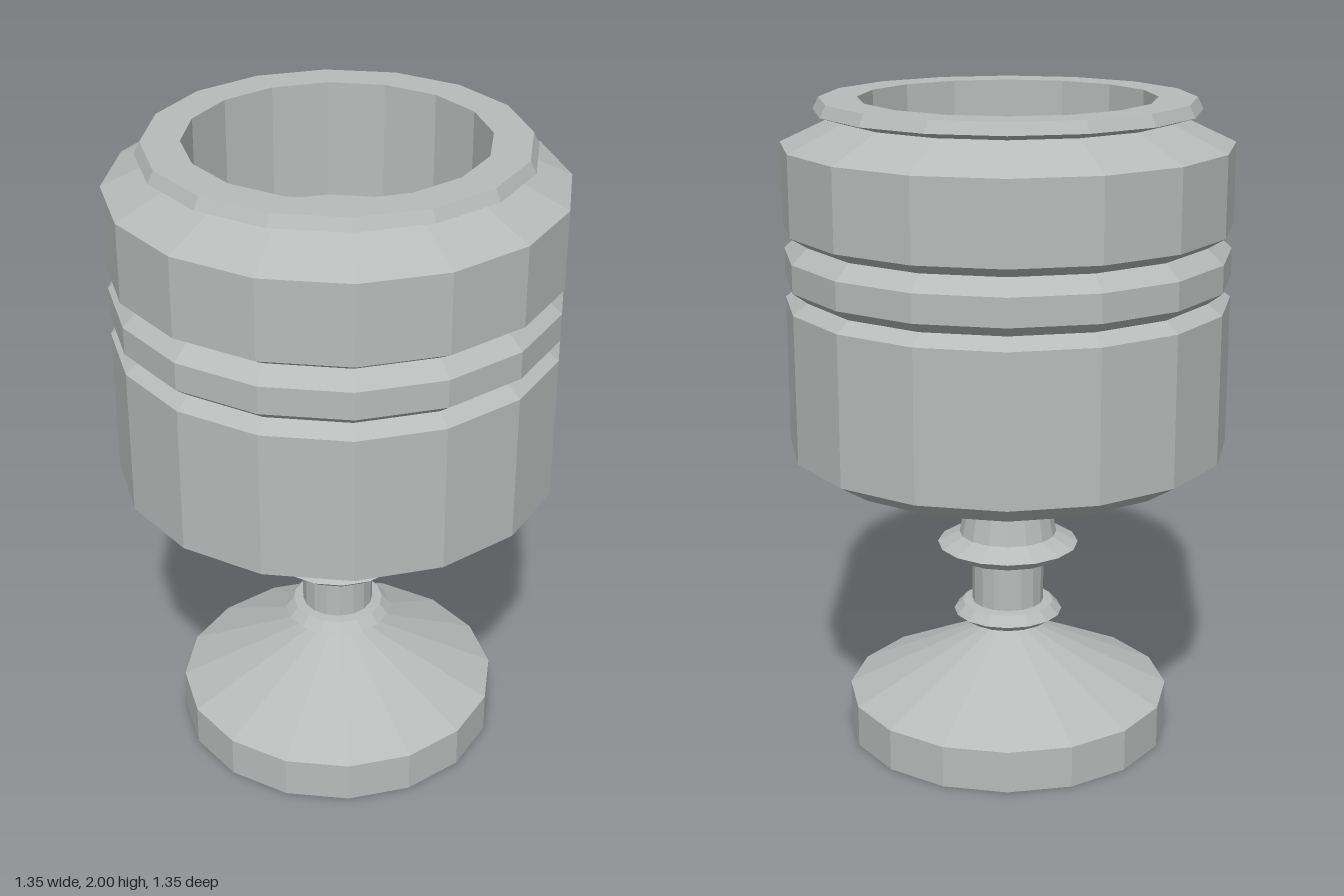
import * as THREE from 'three';

const SIDES = 16;

export function createModel() {
  const metal = new THREE.MeshStandardMaterial({ color: 0xb9bbbb, flatShading: true, side: THREE.DoubleSide });
  metal.name = 'grey metal';
  const model = new THREE.Group();
  model.name = 'goblet';

  // Each part is a faceted turned shell; profile points are [radius, height], bottom to top
  function turned(name, profile) {
    const points = profile.map(([r, y]) => new THREE.Vector2(r, y));
    const mesh = new THREE.Mesh(new THREE.LatheGeometry(points, SIDES), metal);
    mesh.name = name;
    model.add(mesh);
  }

  // Hollow conical foot, open underneath
  turned('foot', [[0.505, 0], [0.505, 0.13], [0.07, 0.34]]);

  // Stem with two collars
  turned('lowerCollar', [[0.07, 0.34], [0.13, 0.36], [0.17, 0.387], [0.143, 0.417], [0.112, 0.42]]);
  turned('stem', [[0.112, 0.42], [0.112, 0.582]]);
  turned('upperCollar', [[0.112, 0.582], [0.182, 0.583], [0.22, 0.613], [0.152, 0.647]]);
  turned('taperedNeck', [[0.152, 0.647], [0.12, 0.81]]);

  // Bowl with two grooves round the outside
  turned('bowl', [
    [0.12, 0.81], [0.455, 0.84], [0.572, 0.885], [0.672, 0.947],
    [0.672, 1.4], [0.628, 1.433], [0.672, 1.466],
    [0.672, 1.55], [0.622, 1.595], [0.675, 1.627],
    [0.675, 1.868], [0.51, 1.945],
  ]);

  // Rim, inner wall and cup floor with a small drain hole
  turned('rim', [[0.51, 1.945], [0.575, 1.965], [0.557, 2], [0.443, 2]]);
  turned('innerWall', [[0.443, 2], [0.443, 1.635]]);
  turned('cupFloor', [[0.443, 1.635], [0.028, 1.635]]);

  return model;
}
